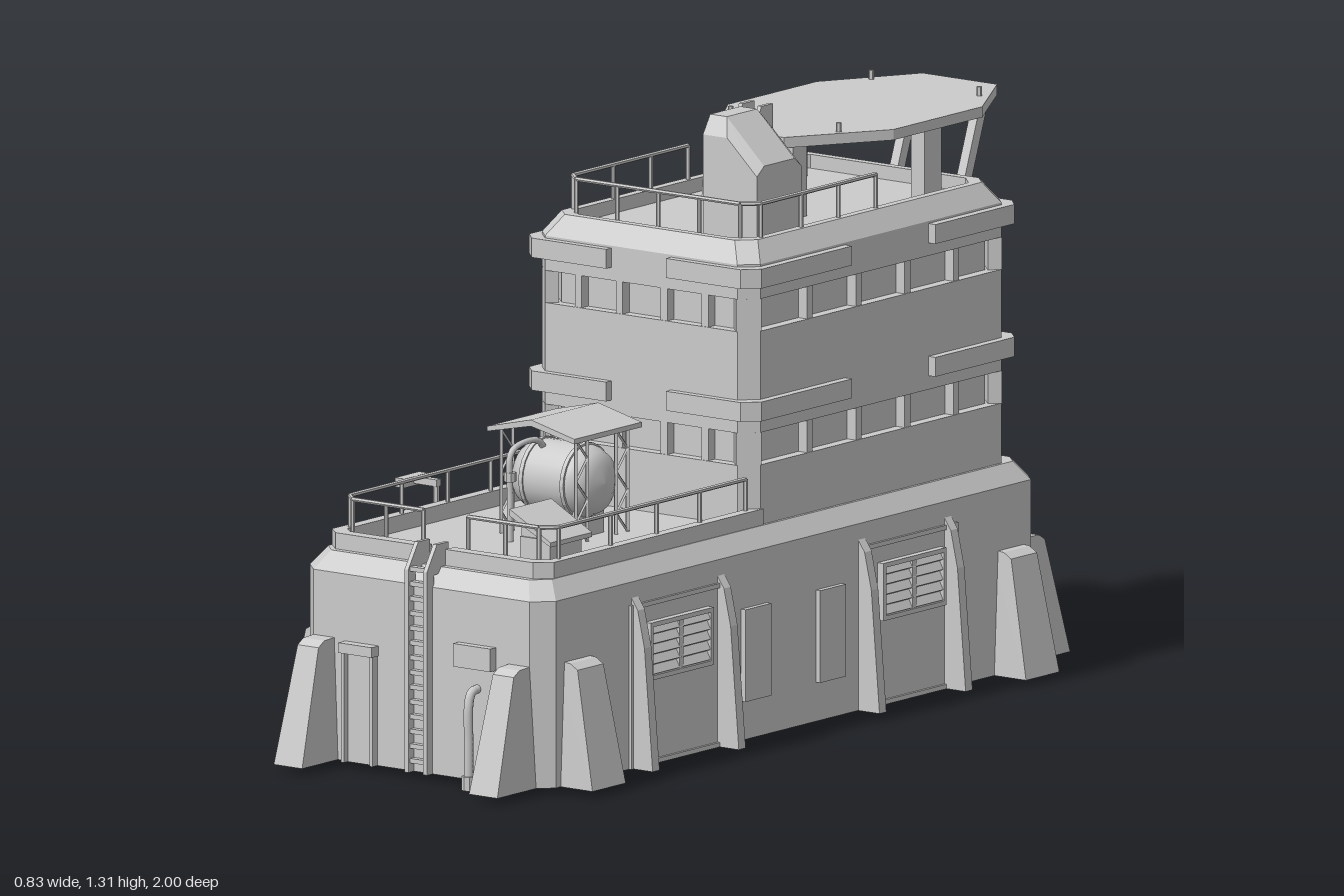
import * as THREE from 'three';
import { ConvexGeometry } from 'three/addons/geometries/ConvexGeometry.js';

const V = (x, y, z) => new THREE.Vector3(x, y, z);

export function createModel() {
  const root = new THREE.Group();
  const flat = new THREE.MeshStandardMaterial({ color: 0xcccccc, flatShading: true });
  const shell = new THREE.MeshStandardMaterial({ color: 0xcccccc, flatShading: true, side: THREE.DoubleSide });
  const smooth = new THREE.MeshStandardMaterial({ color: 0xcccccc });

  const add = (name, geo, mat = flat) => {
    const m = new THREE.Mesh(geo, mat);
    m.name = name;
    root.add(m);
    return m;
  };
  // box given by its min and max on each axis
  const box = (name, x0, x1, y0, y1, z0, z1) =>
    add(name, new THREE.BoxGeometry(x1 - x0, y1 - y0, z1 - z0).translate((x0 + x1) / 2, (y0 + y1) / 2, (z0 + z1) / 2));
  // straight rod between two points
  const rod = (name, a, b, r = 0.005, sides = 6) => {
    const d = b.clone().sub(a);
    const m = add(name, new THREE.CylinderGeometry(r, r, d.length(), sides));
    m.quaternion.setFromUnitVectors(V(0, 1, 0), d.normalize());
    m.position.copy(a).lerp(b, 0.5);
    return m;
  };
  const shape = pts => new THREE.Shape(pts.map(p => new THREE.Vector2(p[0], p[1])));
  const extrude = (pts, depth) => new THREE.ExtrudeGeometry(shape(pts), { depth, bevelEnabled: false });
  // [x, z] outline raised from y0 to y1
  const plan = (name, pts, y0, y1) =>
    add(name, extrude(pts.map(([x, z]) => [x, -z]), y1 - y0).rotateX(-Math.PI / 2).translate(0, y0, 0));
  // [z, y] outline with thickness w centred on x
  const profileX = (name, pts, x, w) =>
    add(name, extrude(pts.map(([z, y]) => [-z, y]), w).rotateY(Math.PI / 2).translate(x - w / 2, 0, 0));
  // [x, y] outline with thickness w centred on z
  const profileZ = (name, pts, z, w) => add(name, extrude(pts, w).translate(0, 0, z - w / 2));

  // stacked chamfered rectangles [y, halfX, zBack, zFront, chamfer], closed on top
  const loft = (name, rings) => {
    const pos = [];
    const loops = rings.map(([y, x, b, f, c]) => [
      V(-x + c, y, f), V(x - c, y, f), V(x, y, f - c), V(x, y, b + c),
      V(x - c, y, b), V(-x + c, y, b), V(-x, y, b + c), V(-x, y, f - c)]);
    const tri = (...p) => p.forEach(v => pos.push(v.x, v.y, v.z));
    for (let k = 0; k + 1 < loops.length; k++) for (let i = 0; i < 8; i++) {
      const j = (i + 1) % 8, a = loops[k], b = loops[k + 1];
      tri(a[i], a[j], b[j]);
      tri(a[i], b[j], b[i]);
    }
    const top = loops[loops.length - 1];
    for (let i = 1; i < 7; i++) tri(top[0], top[i], top[i + 1]);
    const g = new THREE.BufferGeometry();
    g.setAttribute('position', new THREE.Float32BufferAttribute(pos, 3));
    g.computeVertexNormals();
    return add(name, g, shell);
  };

  // main volumes
  loft('baseHall', [[0.015, 0.33, -0.86, 0.875, 0.04], [0.42, 0.33, -0.86, 0.875, 0.04], [0.46, 0.3, -0.83, 0.845, 0.035]]);
  const T = (y, d) => [y, 0.293 - d, -0.8 + d, 0.11 - d, 0.035];
  loft('tower', [T(0.46, 0), T(0.59, 0), T(0.59, 0.025), T(0.66, 0.025), T(0.66, 0), T(0.88, 0), T(0.88, 0.025),
    T(0.95, 0.025), T(0.95, 0), T(1.025, 0), T(1.07, 0.03), T(1.07, 0.05), T(1.04, 0.05)]);

  // window pillars and corner posts
  for (const y of [0.59, 0.88]) for (const s of [-1, 1]) {
    for (const z of [-0.1, -0.27, -0.44, -0.61])
      box('windowPillar', s * 0.278 - 0.013, s * 0.278 + 0.013, y, y + 0.07, z - 0.01, z + 0.01);
    for (const z of [0.095, -0.785]) for (const x of [0.06, 0.17])
      box('windowPillar', s * x - 0.009, s * x + 0.009, y, y + 0.07, z - 0.013, z + 0.013);
    for (const [z, f] of [[0.0925, 1], [-0.7825, -1]]) {
      const m = add('cornerPost', new THREE.BoxGeometry(0.055, 0.07, 0.03));
      m.rotation.y = s * f * Math.PI / 4;
      m.position.set(s * 0.265, y + 0.035, z - f * 0.0106);
    }
  }
  // armour bands wrapping each tower corner
  for (const y of [0.69, 0.978]) for (const s of [-1, 1])
    for (const [f, wall, end] of [[1, 0.11, -0.22], [-1, -0.8, -0.51]])
      plan('cornerBand', [[s * 0.08, wall + f * 0.018], [s * 0.28, wall + f * 0.018], [s * 0.312, wall - f * 0.015],
        [s * 0.312, end], [s * 0.28, end], [s * 0.28, wall - f * 0.02], [s * 0.08, wall - f * 0.02]], y, y + 0.042);

  // terrace parapet, open at the ladder and against the tower
  for (const s of [-1, 1])
    plan('terraceParapet', [[s * 0.03, 0.83], [s * 0.265, 0.83], [s * 0.298, 0.8], [s * 0.298, 0.07],
      [s * 0.272, 0.07], [s * 0.272, 0.78], [s * 0.25, 0.8], [s * 0.03, 0.8]], 0.455, 0.495);

  // railings
  const railing = (pts, y0, y1) => pts.forEach(([x, z], i) => {
    rod('railPost', V(x, y0, z), V(x, y1, z));
    if (i) rod('handRail', V(pts[i - 1][0], y1, pts[i - 1][1]), V(x, y1, z));
  });
  for (const s of [-1, 1]) {
    railing([[0.06, 0.79], [0.16, 0.79], [0.25, 0.79], [0.28, 0.76], [0.28, 0.58], [0.28, 0.42], [0.28, 0.27], [0.28, 0.11]]
      .map(([x, z]) => [s * x, z]), 0.47, 0.563);
    railing([[0, 0.05], [0.11, 0.05], [0.22, 0.05], [0.252, 0.02], [0.252, -0.12], [0.252, -0.25], [0.252, -0.38]]
      .map(([x, z]) => [s * x, z]), 1.05, 1.143);
  }

  // tapered buttresses standing against a wall
  const buttress = (x, z, turn, wb, wt, ob, ot, yt) => {
    const pts = [];
    for (const s of [-1, 1])
      pts.push(V(s * wb, 0.015, 0), V(s * wb, 0.015, ob), V(s * wt, yt, ot), V(s * wt, yt + 0.012, ot - 0.02), V(s * wt, yt + 0.015, 0));
    const m = add('buttress', new ConvexGeometry(pts));
    m.position.set(x, 0, z);
    m.rotation.y = turn;
  };
  for (const s of [-1, 1]) {
    buttress(s * 0.262, 0.85, 0, 0.038, 0.028, 0.15, 0.08, 0.265);
    buttress(s * 0.262, -0.84, Math.PI, 0.038, 0.028, 0.155, 0.08, 0.27);
    for (const z of [0.76, -0.75]) buttress(s * 0.31, z, s * Math.PI / 2, 0.058, 0.045, 0.105, 0.055, 0.27);
    // thin side fins
    for (const z of s > 0 ? [0.56, 0.26, -0.23, -0.53] : [0.57, 0.2, -0.23, -0.6])
      profileZ('sideFin', [[0.32, 0.015], [0.387, 0.015], [0.365, 0.28], [0.347, 0.36], [0.32, 0.4]].map(([x, y]) => [s * x, y]), z, 0.024);
  }

  // rectangular frame on a side wall
  const sideFrame = (name, s, z0, z1, y0, y1, t, d) => {
    const a = Math.min(s * 0.325, s * (0.33 + d)), b = Math.max(s * 0.325, s * (0.33 + d));
    box(name, a, b, y1 - t, y1, z0, z1);
    box(name, a, b, y0, y0 + t, z0, z1);
    box(name, a, b, y0, y1, z0, z0 + t);
    box(name, a, b, y0, y1, z1 - t, z1);
  };
  // louvred vents and panels on the left wall
  for (const z of [0.415, -0.395]) {
    sideFrame('ventFrame', 1, z - 0.11, z + 0.11, 0.2, 0.325, 0.01, 0.016);
    box('ventDivider', 0.325, 0.344, 0.2, 0.325, z - 0.007, z + 0.007);
    for (let i = 0; i < 5; i++) {
      const m = add('ventSlat', new THREE.BoxGeometry(0.006, 0.02, 0.21));
      m.position.set(0.337, 0.22 + i * 0.022, z);
      m.rotation.z = 0.5;
    }
    sideFrame('bayFrame', 1, z - 0.165, z + 0.165, 0.015, 0.37, 0.01, 0.006);
  }
  for (const z of [0.145, -0.115]) box('wallPanel', 0.32, 0.342, 0.1, 0.3, z - 0.045, z + 0.045);

  // doors on the right wall: a plain double door and a braced gate
  for (const [z, w, h, braced] of [[-0.415, 0.13, 0.31, false], [0.385, 0.165, 0.35, true]]) {
    sideFrame('doorFrame', -1, z - w, z + w, 0.015, h, 0.016, 0.016);
    for (const s of [-1, 1]) {
      const c = z + s * w / 2, e = w / 2 - 0.016;
      box('doorLeaf', -0.336, -0.32, 0.02, h - 0.016, c - e, c + e);
      if (braced) for (const k of [-1, 1]) rod('doorBrace', V(-0.336, 0.03, c - k * e), V(-0.336, h - 0.02, c + k * e), 0.006, 4);
      else box('doorInset', -0.342, -0.33, 0.06, h - 0.05, c - e * 0.6, c + e * 0.6);
    }
  }
  // wall lamps
  for (const z of [-0.42, 0.38]) {
    box('lampMount', -0.355, -0.32, 0.34, 0.385, z - 0.018, z + 0.018);
    rod('lampPole', V(-0.342, 0.36, z), V(-0.342, 0.525, z), 0.007);
    box('lampArm', -0.41, -0.335, 0.515, 0.53, z - 0.008, z + 0.008);
    box('lampHead', -0.42, -0.396, 0.51, 0.53, z - 0.042, z + 0.042);
  }
  // raised back panels
  for (const x of [-0.135, -0.045, 0.045, 0.135]) box('backPanel', x - 0.024, x + 0.024, 0.12, 0.33, -0.88, -0.85);

  // front door, wall box and stand pipe
  box('frontDoor', -0.195, -0.125, 0.015, 0.25, 0.86, 0.88);
  for (const x of [-0.202, -0.126]) box('frontDoorJamb', x, x + 0.008, 0.015, 0.255, 0.86, 0.893);
  box('frontDoorHood', -0.205, -0.115, 0.253, 0.275, 0.86, 0.9);
  box('wallBox', 0.1, 0.2, 0.26, 0.31, 0.86, 0.895);
  const bend = new THREE.CatmullRomCurve3([V(0.15, 0.01, 0.905), V(0.15, 0.1, 0.905), V(0.15, 0.185, 0.905), V(0.15, 0.21, 0.895), V(0.15, 0.215, 0.865)]);
  add('standPipe', new THREE.TubeGeometry(bend, 20, 0.01, 8), smooth);
  add('pipeFoot', new THREE.CylinderGeometry(0.016, 0.016, 0.03, 8).translate(0.15, 0.015, 0.905));

  // ladders with handholds over the top
  const ladder = (z, y0, y1, rise) => {
    for (const x of [-0.025, 0.025]) {
      box('ladderRail', x - 0.005, x + 0.005, y0, y1, z - 0.015, z + 0.01);
      profileX('ladderHandhold', [[z + 0.01, y1], [z - 0.025, y1 + rise], [z - 0.065, y1 + rise], [z - 0.065, y1 - 0.005], [z - 0.015, y1 - 0.01]], x, 0.01);
    }
    for (let y = y0 + 0.02; y < y1 + rise * 0.5; y += 0.032) box('ladderRung', -0.022, 0.022, y, y + 0.01, z - 0.012, z + 0.004);
  };
  ladder(0.885, 0.015, 0.455, 0.055);
  ladder(-0.245, 1.04, 1.2, 0.08);

  // storage tank under a gabled shelter
  const tank = [[0, -0.11], [0.04, -0.104], [0.066, -0.09], [0.078, -0.065], [0.08, -0.05], [0.08, 0.05], [0.078, 0.065], [0.066, 0.09], [0.04, 0.104], [0, 0.11]];
  add('tank', new THREE.LatheGeometry(tank.map(p => new THREE.Vector2(...p)), 24).rotateZ(Math.PI / 2).translate(0.01, 0.578, 0.39), smooth);
  for (const x of [-0.045, 0.065]) {
    add('tankBand', new THREE.CylinderGeometry(0.083, 0.083, 0.01, 24).rotateZ(Math.PI / 2).translate(x, 0.578, 0.39));
    box('tankSaddle', x - 0.012, x + 0.012, 0.455, 0.53, 0.34, 0.44);
  }
  profileZ('shelterRoof', [[-0.107, 0.683], [0.01, 0.708], [0.127, 0.683], [0.127, 0.694], [0.01, 0.722], [-0.107, 0.694]], 0.39, 0.235);
  for (const x of [-0.09, 0.11]) {
    for (const z of [0.3, 0.34, 0.44, 0.48]) rod('shelterPost', V(x, 0.46, z), V(x, 0.69, z), 0.005, 4);
    for (const z of [0.3, 0.44]) for (let i = 0; i < 5; i++) {
      const y = 0.46 + i * 0.045, k = i % 2 * 0.04;
      rod('shelterLacing', V(x, y, z + k), V(x, y + 0.045, z + 0.04 - k), 0.0035, 4);
    }
  }
  const feed = new THREE.CatmullRomCurve3([V(-0.02, 0.46, 0.54), V(-0.02, 0.56, 0.54), V(-0.02, 0.645, 0.54), V(-0.02, 0.662, 0.52), V(-0.02, 0.662, 0.44), V(-0.02, 0.62, 0.41)]);
  add('feedPipe', new THREE.TubeGeometry(feed, 28, 0.007, 8), smooth);
  add('feedValve', new THREE.CylinderGeometry(0.013, 0.013, 0.02, 8).translate(-0.02, 0.6, 0.54));
  // slant-topped locker
  box('locker', 0.13, 0.21, 0.455, 0.515, 0.59, 0.7);
  profileZ('lockerLid', [[0.115, 0.575], [0.225, 0.515], [0.225, 0.505], [0.115, 0.56]], 0.645, 0.145);
  profileZ('lockerGable', [[0.13, 0.51], [0.21, 0.51], [0.21, 0.515], [0.13, 0.56]], 0.645, 0.1);

  // roof exhaust housing with chamfered crown
  const hood = [];
  for (const z of [-0.15, 0.005]) {
    const d = z < -0.07 ? 0.025 : -0.025;
    hood.push(V(0.085, 1.04, z), V(0.23, 1.04, z), V(0.23, 1.195, z), V(0.085, 1.27, z), V(0.15, 1.27, z),
      V(0.085, 1.31, z + d), V(0.13, 1.31, z + d), V(0.23, 1.215, z + d));
  }
  add('exhaustHousing', new ConvexGeometry(hood));
  profileZ('exhaustBackplate', [[0.055, 1.04], [0.09, 1.04], [0.09, 1.26], [0.068, 1.2]], -0.07, 0.1);

  // landing deck, columns, edge markers and rear struts
  plan('landingDeck', [[-0.1, -1], [0.1, -1], [0.222, -0.79], [0.222, -0.48], [0.09, -0.27], [-0.09, -0.27], [-0.222, -0.48], [-0.222, -0.79]], 1.197, 1.22);
  for (const s of [-1, 1]) {
    box('deckColumn', s * 0.18 - 0.018, s * 0.18 + 0.018, 1.04, 1.2, -0.68, -0.62);
    box('deckColumn', s * 0.083 - 0.016, s * 0.083 + 0.016, 1.04, 1.2, -0.34, -0.29);
    for (const z of [-0.39, -0.88]) rod('deckMarker', V(s * 0.145, 1.21, z), V(s * 0.145, 1.24, z), 0.006);
    profileX('deckStrut', [[-0.945, 1.2], [-0.972, 1.2], [-0.838, 0.83], [-0.812, 0.83]], s * 0.09, 0.022);
    profileX('strutFoot', [[-0.79, 0.765], [-0.81, 0.775], [-0.855, 0.845], [-0.85, 0.862], [-0.79, 0.87]], s * 0.09, 0.045);
  }
  return root;
}
